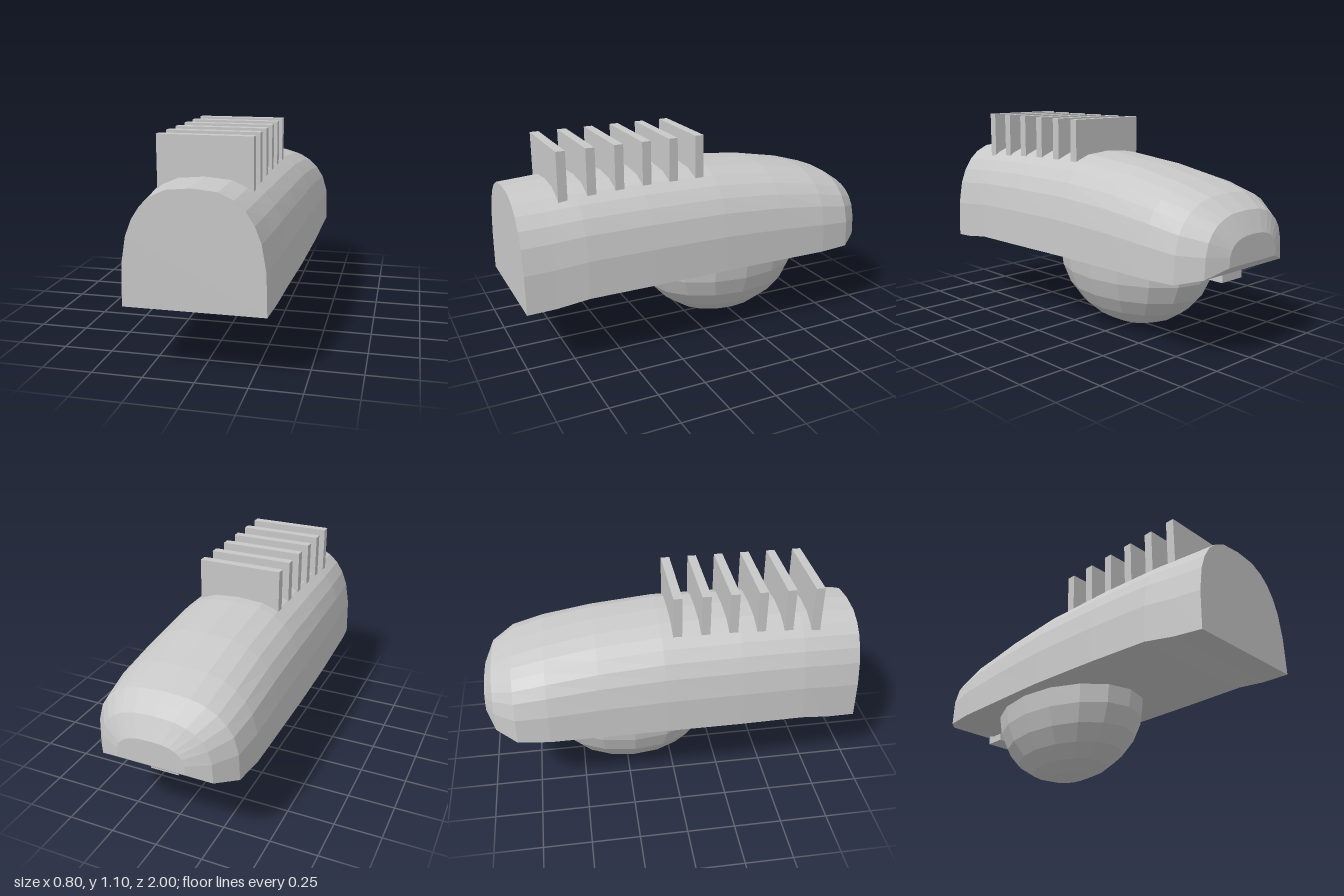
import * as THREE from 'three';

// Half outline of the arched section: [fraction of half width, fraction of height]
const ARCH = [[1, 0], [0.985, 0.36], [0.92, 0.59], [0.83, 0.73], [0.71, 0.84], [0.56, 0.92], [0.35, 0.98], [0, 1]];

// Sections along the housing: [z, half width, bottom, top]
const SECTIONS = [
  [1, 0.335, 0.34, 0.9], [0.85, 0.352, 0.353, 0.908], [0.69, 0.37, 0.38, 0.917],
  [0.35, 0.388, 0.39, 0.925], [-0.06, 0.4, 0.4, 0.92], [-0.4, 0.4, 0.4, 0.885],
  [-0.67, 0.4, 0.4, 0.835], [-0.84, 0.38, 0.4, 0.785], [-0.95, 0.295, 0.43, 0.715],
  [-1, 0.18, 0.475, 0.61],
];

function housingGeometry() {
  const outline = [...ARCH, ...ARCH.slice(0, -1).reverse().map(([x, y]) => [-x, y])];
  const n = outline.length;
  const positions = [];
  const index = [];
  for (const [z, w, bottom, top] of SECTIONS) {
    for (const [x, y] of outline) positions.push(x * w, bottom + y * (top - bottom), z);
  }
  // Skin between neighbouring sections, including the flat underside
  for (let i = 0; i < SECTIONS.length - 1; i++) {
    for (let j = 0; j < n; j++) {
      const a = i * n + j, b = i * n + (j + 1) % n;
      index.push(a, a + n, b, b, a + n, b + n);
    }
  }
  // End caps
  const last = (SECTIONS.length - 1) * n;
  for (let j = 1; j < n - 1; j++) {
    index.push(0, j, j + 1);
    index.push(last, last + j + 1, last + j);
  }
  const geometry = new THREE.BufferGeometry();
  geometry.setAttribute('position', new THREE.Float32BufferAttribute(positions, 3));
  geometry.setIndex(index);
  const flat = geometry.toNonIndexed();
  flat.computeVertexNormals();
  return flat;
}

export function createModel() {
  const group = new THREE.Group();
  const grey = new THREE.MeshStandardMaterial({ color: 0xc8c8c8, flatShading: true });
  grey.name = 'light grey';

  function add(name, geometry, x, y, z) {
    const mesh = new THREE.Mesh(geometry, grey);
    mesh.name = name;
    mesh.position.set(x, y, z);
    group.add(mesh);
    return mesh;
  }

  add('housing', housingGeometry(), 0, 0, 0);

  // Faceted half dome hanging under the housing
  const dome = new THREE.SphereGeometry(1, 16, 6, 0, Math.PI * 2, Math.PI / 2, Math.PI / 2);
  dome.scale(0.34, 0.4, 0.48);
  add('lensDome', dome, 0, 0.4, -0.22);

  // Row of upright cooling fins
  const fin = new THREE.BoxGeometry(0.455, 0.28, 0.047);
  for (let i = 0; i < 6; i++) add('coolingFin', fin, 0, 0.96, 0.022 + i * 0.1475);

  // Small latch under the rear end
  add('latch', new THREE.BoxGeometry(0.15, 0.06, 0.11), 0, 0.39, -0.825);

  return group;
}
